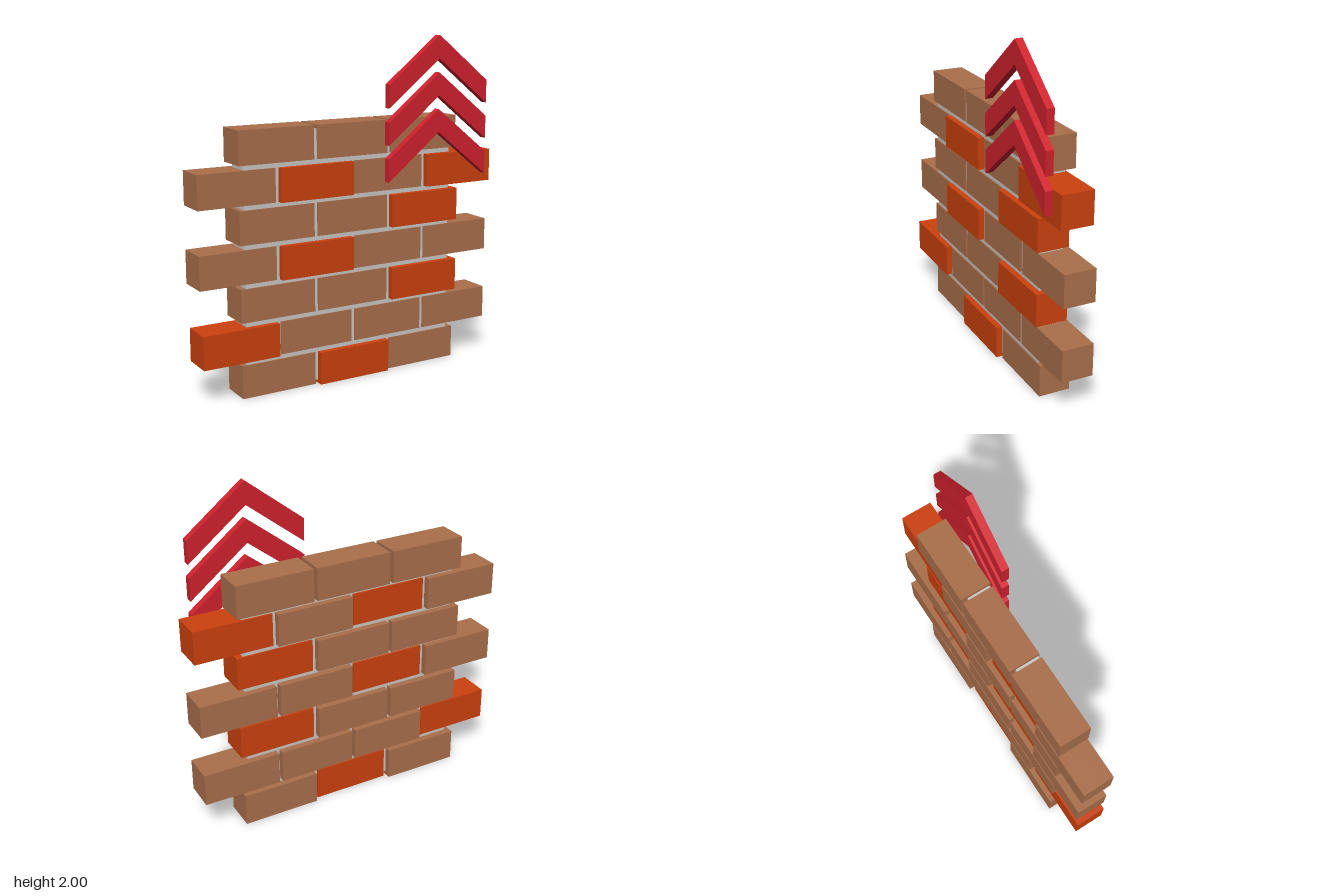
import * as THREE from 'three';

const material = (name, color) => {
  const m = new THREE.MeshStandardMaterial({ color });
  m.name = name;
  return m;
};

export function createModel() {
  const model = new THREE.Group();
  model.name = 'brickWall';
  const brown = material('brown brick', 0xaa6f4b);
  const orange = material('orange brick', 0xcc410e);
  const grey = material('grey mortar', 0xc9c8c5);
  const red = material('red marker', 0xd0212d);

  const add = (parent, name, geometry, mat, x, y, z) => {
    const mesh = new THREE.Mesh(geometry, mat);
    mesh.name = name;
    mesh.position.set(x, y, z);
    parent.add(mesh);
  };

  // Mortar core behind the brick joints
  add(model, 'mortar', new THREE.BoxGeometry(1.366, 1.476, 0.142), grey, -0.008, 0.76, -0.024);

  // Alternating courses of three and four bricks; orange ones stand forward
  const orangeBricks = [[1], [0], [2], [1], [2], [1, 3], []];
  const brick = new THREE.BoxGeometry(0.465, 0.194, 0.19);
  const bricks = new THREE.Group();
  bricks.name = 'bricks';
  model.add(bricks);
  orangeBricks.forEach((list, row) => {
    const count = row % 2 ? 4 : 3;
    for (let i = 0; i < count; i++) {
      const isOrange = list.includes(i);
      const x = -0.003 + (i - (count - 1) / 2) * 0.486;
      add(bricks, isOrange ? 'orangeBrick' : 'brownBrick', brick, isOrange ? orange : brown,
        x, 0.097 + row * 0.221, isOrange ? -0.012 : -0.04);
    }
  });

  // Three stacked upward chevrons in front of the upper corner
  const outline = [[0, 0], [-0.345, -0.272], [-0.345, -0.407], [0, -0.135], [0.345, -0.407], [0.345, -0.272]];
  const shape = new THREE.Shape(outline.map(([x, y]) => new THREE.Vector2(x, y)));
  const chevron = new THREE.ExtrudeGeometry(shape, { depth: 0.045, bevelEnabled: false });
  const chevrons = new THREE.Group();
  chevrons.name = 'chevrons';
  model.add(chevrons);
  for (let i = 0; i < 3; i++) add(chevrons, 'chevron', chevron, red, 0.536, 2 - i * 0.2145, 0.09);

  return model;
}
